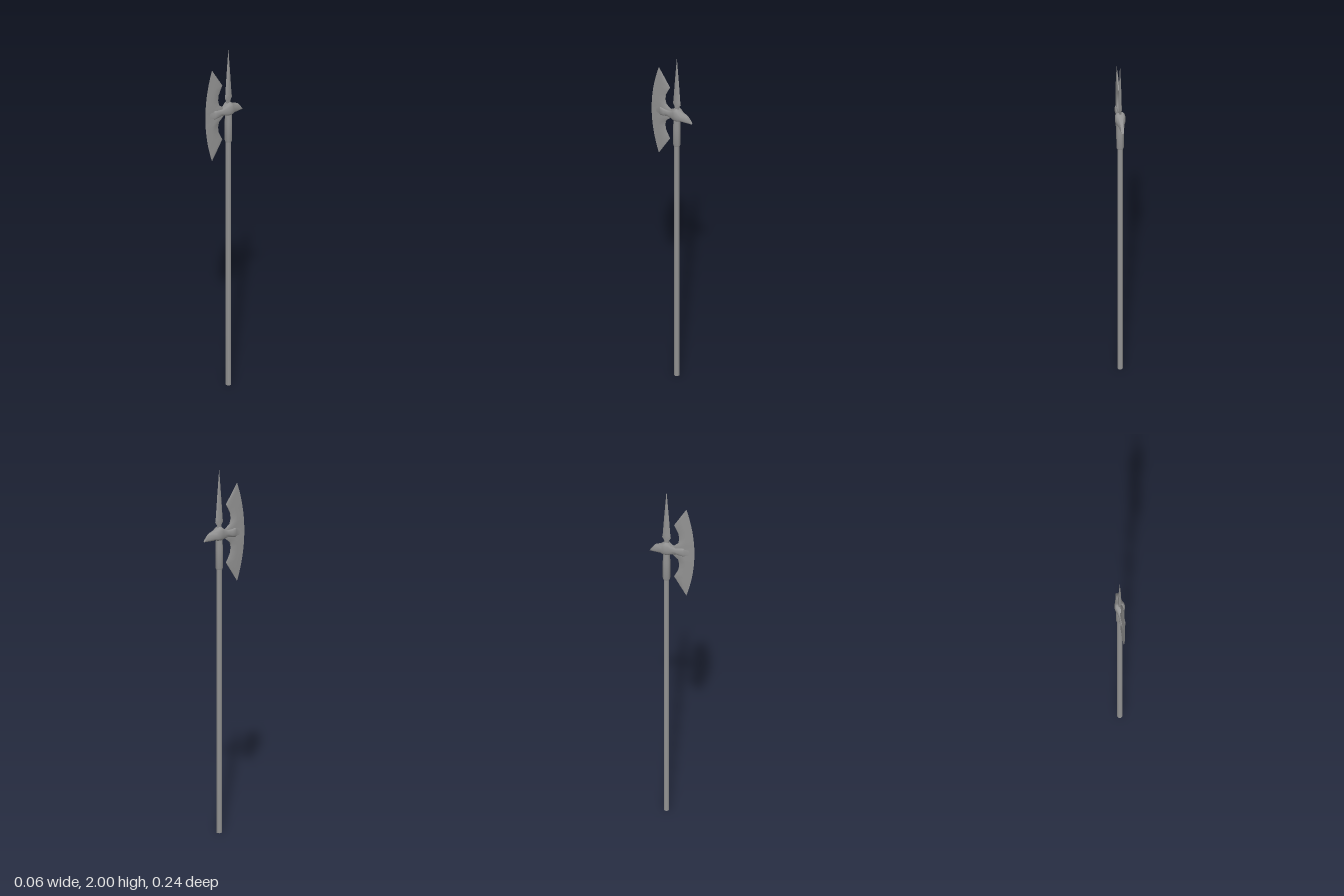
import * as THREE from 'three';
import { toCreasedNormals } from 'three/addons/utils/BufferGeometryUtils.js';

const SHAFT_Z = -0.03;
const material = new THREE.MeshStandardMaterial({ color: 0x929292 });

function addPart(group, name, geometry, crease = 0.6) {
  const mesh = new THREE.Mesh(toCreasedNormals(geometry, crease), material);
  mesh.name = name;
  group.add(mesh);
  return mesh;
}

// Skins closed rings of points (counter-clockwise about the path) and caps both ends.
function loft(rings) {
  const positions = [];
  const tri = (a, b, c) => {
    const t = new THREE.Triangle(a, b, c);
    if (t.getArea() > 1e-9) for (const p of [a, b, c]) positions.push(p.x, p.y, p.z);
  };
  const n = rings[0].length;
  for (let i = 0; i < rings.length - 1; i++) {
    for (let j = 0; j < n; j++) {
      const k = (j + 1) % n;
      tri(rings[i][j], rings[i][k], rings[i + 1][k]);
      tri(rings[i][j], rings[i + 1][k], rings[i + 1][j]);
    }
  }
  const first = rings[0], last = rings[rings.length - 1];
  for (let j = 1; j < n - 1; j++) {
    tri(first[0], first[j + 1], first[j]);
    tri(last[0], last[j], last[j + 1]);
  }
  const geometry = new THREE.BufferGeometry();
  geometry.setAttribute('position', new THREE.Float32BufferAttribute(positions, 3));
  return geometry;
}

function lathe(profile, segments) {
  return new THREE.LatheGeometry(profile.map(([r, y]) => new THREE.Vector2(r, y)), segments);
}

const V = (x, y, z) => new THREE.Vector3(x, y, z);
const round = (n, fn) => Array.from({ length: n }, (_, i) => fn((i / n) * Math.PI * 2));
const soft = v => Math.sign(v) * Math.abs(v) ** 0.7; // slightly squared circle

// Crescent blade: sections from a rounded, scalloped back to a sharp curved edge.
function bladeGeometry() {
  const midY = 1.635;
  // height of back, z of back, height of edge, half thickness
  const half = [
    [0, 0, 0, 0.008], [0.02, 0, 0.025, 0.008], [0.036, 0.018, 0.05, 0.008],
    [0.05, 0.034, 0.08, 0.007], [0.08, 0.04, 0.11, 0.006], [0.11, 0.036, 0.14, 0.006],
    [0.135, 0.025, 0.17, 0.006], [0.16, 0.012, 0.2, 0.006],
    [0.215, 0.045, 0.235, 0.004], [0.27, 0.078, 0.27, 0],
  ];
  // position from back to edge, share of the thickness
  const outline = [[1, 0], [0.5, 0.85], [0.12, 1], [0, 0.5], [0, -0.5], [0.12, -1], [0.5, -0.85]];
  const section = ([dy, z, edge, t], s) => {
    const edgeZ = 0.122 - 0.6 * edge * edge;
    return outline.map(([f, w]) => V(t * w,
      midY + s * THREE.MathUtils.lerp(dy, edge, f), THREE.MathUtils.lerp(z, edgeZ, f)));
  };
  const lower = half.slice(1).reverse().map(row => section(row, -1));
  return loft([...lower, ...half.map(row => section(row, 1))]);
}

// Head body: swollen around the shaft, beak at the back, arm fanning into the blade.
function bodyGeometry() {
  // z, centre y, half width, half height, forward lean of the top
  const stations = [
    [-0.106, 1.633, 0.008, 0.022, 0.016], [-0.085, 1.635, 0.013, 0.024, 0.008],
    [-0.06, 1.638, 0.02, 0.026, 0], [-0.046, 1.642, 0.026, 0.034, 0],
    [-0.032, 1.645, 0.028, 0.039, 0], [-0.018, 1.643, 0.025, 0.036, 0],
    [-0.004, 1.639, 0.019, 0.027, 0], [0.02, 1.637, 0.015, 0.02, 0],
    [0.045, 1.636, 0.014, 0.023, 0], [0.063, 1.636, 0.014, 0.026, 0],
    [0.07, 1.636, 0.007, 0.027, 0], [0.095, 1.636, 0.003, 0.03, 0],
  ];
  return loft(stations.map(([z, y, hx, hy, lean]) => round(16, a =>
    V(hx * soft(Math.cos(a)), y + hy * soft(Math.sin(a)), z + lean * soft(Math.sin(a))))));
}

// Top spike: flattened, with a flared shoulder above a narrow neck.
function spikeGeometry() {
  const stations = [
    [1.66, 0.009, 0.014], [1.69, 0.008, 0.013], [1.708, 0.009, 0.024],
    [1.725, 0.009, 0.021], [1.85, 0.006, 0.012], [2, 0, 0],
  ];
  return loft(stations.map(([y, hx, hz]) => round(8, a =>
    V(hx * Math.sin(a), y, SHAFT_Z + hz * Math.cos(a)))));
}

export function createModel() {
  const group = new THREE.Group();
  group.name = 'poleaxe';

  // Long shaft
  const shaft = addPart(group, 'shaft', lathe([[0, 0], [0.0145, 0], [0.0145, 1.46], [0, 1.46]], 12));
  shaft.position.z = SHAFT_Z;

  // Socket sleeve with rounded ends
  const socket = addPart(group, 'socket', lathe([
    [0, 1.448], [0.017, 1.448], [0.02, 1.458], [0.02, 1.56],
    [0.018, 1.6], [0.017, 1.63], [0, 1.63],
  ], 16));
  socket.position.z = SHAFT_Z;

  addPart(group, 'headBody', bodyGeometry(), 0.9);
  addPart(group, 'blade', bladeGeometry(), 0.8);
  addPart(group, 'spike', spikeGeometry(), 0.7);
  return group;
}
